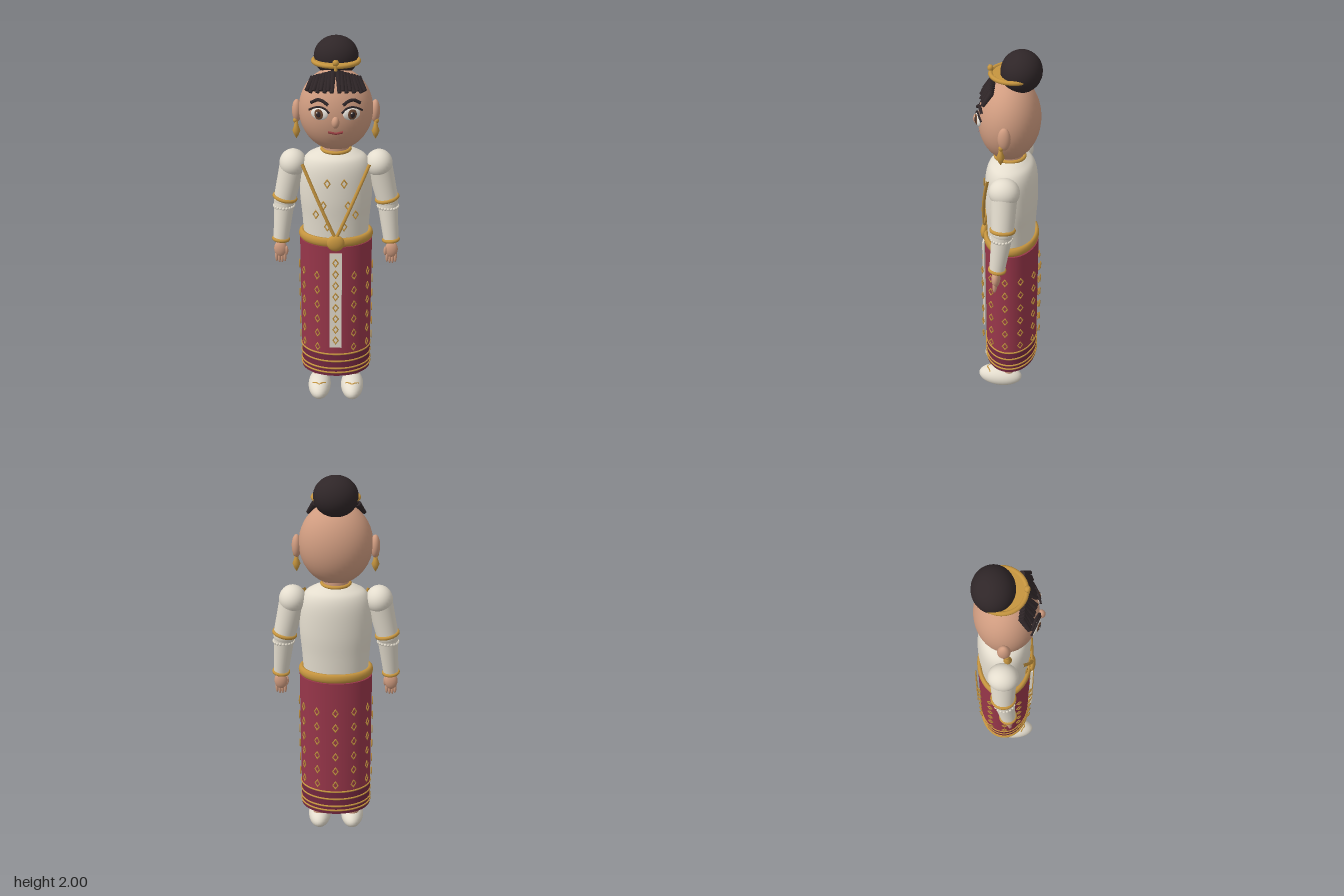
import * as THREE from 'three';

const mat = (name, color) => {
  const m = new THREE.MeshStandardMaterial({ color });
  m.name = name;
  return m;
};
const V = (x, y, z) => new THREE.Vector3(x, y, z);

export function createModel() {
  const skin = mat('skin', 0xd09c80), hair = mat('hair', 0x2f2628), cream = mat('cream cloth', 0xe4ddce);
  const gold = mat('gold', 0xc6953f), red = mat('red cloth', 0x98364a), maroon = mat('dark red border', 0x742740);
  const white = mat('eye white', 0xeee9e0), brown = mat('iris brown', 0x6a4630), lip = mat('lip red', 0x983f42);
  const root = new THREE.Group();
  root.name = 'doll';

  const add = (name, geo, material, p = [0, 0, 0], s = [1, 1, 1]) => {
    const m = new THREE.Mesh(geo, material);
    m.name = name;
    m.position.set(...p);
    m.scale.set(...s);
    root.add(m);
    return m;
  };
  const ball = (name, material, p, s, seg = 32) => add(name, new THREE.SphereGeometry(1, seg, seg / 2), material, p, s);
  // tapered round bar from a to b
  const bar = (name, material, a, b, ra, rb, seg = 24) => {
    const m = add(name, new THREE.CylinderGeometry(rb, ra, a.distanceTo(b), seg), material);
    m.position.copy(a).add(b).multiplyScalar(0.5);
    m.quaternion.setFromUnitVectors(V(0, 1, 0), b.clone().sub(a).normalize());
    return m;
  };
  const cord = (name, material, pts, r) =>
    add(name, new THREE.TubeGeometry(new THREE.CatmullRomCurve3(pts), 20, r, 8), material);
  // horizontal elliptical hoop
  const hoop = (name, material, y, z, rx, rz, tube, tall = 1) => {
    const g = new THREE.TorusGeometry(rx, tube, 10, 48).rotateX(Math.PI / 2);
    return add(name, g, material, [0, y, z], [1, tall, rz / rx]);
  };
  // open diamond ornament turned about y
  const diamondGeo = new THREE.TorusGeometry(0.014, 0.004, 4, 4).scale(1, 1.5, 0.8);
  const diamond = (name, x, y, z, turn = 0) => { add(name, diamondGeo, gold, [x, y, z]).rotation.y = turn; };

  // head
  const HY = 1.65, HZ = -0.01, HR = [0.183, 0.207, 0.152];
  const faceZ = (x, y) => HZ + HR[2] * Math.sqrt(Math.max(0, 1 - (x / HR[0]) ** 2 - ((y - HY) / HR[1]) ** 2));
  const onFace = (x, y, out) => V(x, y, faceZ(x, y) + out);
  ball('head', skin, [0, HY, HZ], HR, 48);
  ball('nose', skin, [0, 1.632, 0.148], [0.019, 0.029, 0.022]);
  cord('mouth', lip, [[-0.036, 1.578], [-0.015, 1.574], [0, 1.571], [0.015, 1.574], [0.036, 1.578]]
    .map(([x, y]) => onFace(x, y, 0.002)), 0.006);

  for (const s of [-1, 1]) {
    // eye layers, tilted with the face
    const eye = new THREE.Group();
    eye.name = 'eye';
    eye.position.copy(onFace(s * 0.077, 1.67, 0.002));
    eye.rotation.y = s * 0.38;
    root.add(eye);
    [['eyeWhite', white, 0.044, 0.031, 0.012, 0], ['iris', brown, 0.023, 0.026, 0.006, 0.009],
      ['pupil', hair, 0.012, 0.015, 0.004, 0.0135]].forEach(([n, m, rx, ry, rz, z]) =>
      eye.add(ball(n, m, [0, 0, z], [rx, ry, rz], 24)));
    eye.add(ball('eyeGlint', white, [-0.006, 0.009, 0.017], [0.004, 0.004, 0.002], 12));
    cord('upperLash', hair, [[0.03, 1.678], [0.05, 1.697], [0.078, 1.704], [0.105, 1.696], [0.128, 1.682]]
      .map(([x, y]) => onFace(s * x, y, 0.008)), 0.005);
    cord('eyebrow', hair, [[0.035, 1.715], [0.06, 1.732], [0.085, 1.736], [0.118, 1.718]]
      .map(([x, y]) => onFace(s * x, y, 0.009)), 0.008);

    // ear and drop earring
    ball('ear', skin, [s * 0.193, 1.638, -0.017], [0.024, 0.058, 0.031]);
    ball('earStud', gold, [s * 0.2, 1.592, -0.003], [0.012, 0.014, 0.012], 16);
    const drop = [[0, 1.498], [0.01, 1.515], [0.02, 1.54], [0.011, 1.565], [0.007, 1.592], [0, 1.597]];
    add('earringDrop', new THREE.LatheGeometry(drop.map(p => new THREE.Vector2(...p)), 16), gold, [s * 0.196, 0, 0]);

    // swept fringe strands
    for (let i = 0; i < 8; i++) {
      const t = i / 7;
      bar('fringeStrand', hair, V(s * (0.012 + 0.095 * t), 1.86 - 0.03 * t, 0.066 - 0.008 * t),
        V(s * (0.018 + 0.122 * t), 1.772 - 0.008 * t + 0.01 * (i % 2), 0.125 - 0.03 * t), 0.016, 0.01, 7);
    }
  }

  // hair bun and tiara
  ball('hairBun', hair, [0, 1.9, -0.066], [0.109, 0.1, 0.099], 40);
  add('tiaraPlate', new THREE.CylinderGeometry(0.112, 0.105, 0.012, 48), gold, [0, 1.885, -0.03]);
  hoop('tiaraRim', gold, 1.887, -0.03, 0.11, 0.11, 0.011);
  bar('tiaraPost', gold, V(0, 1.868, 0.085), V(0, 1.92, 0.085), 0.008, 0.006, 12);
  ball('tiaraBead', gold, [0, 1.905, 0.082], [0.016, 0.016, 0.014], 16);

  // neck and bodice
  bar('neck', skin, V(0, 1.4, -0.012), V(0, 1.48, -0.012), 0.066, 0.066);
  hoop('collar', gold, 1.443, -0.012, 0.07, 0.072, 0.009);
  const TZ = -0.02, FLAT = 0.72;
  const body = new THREE.SplineCurve([[0.166, 0.96], [0.174, 1.08], [0.184, 1.2], [0.179, 1.33], [0.155, 1.398],
    [0.11, 1.428], [0.066, 1.445]].map(p => new THREE.Vector2(...p)));
  add('bodice', new THREE.LatheGeometry(body.getPoints(30), 48), cream, [0, 0, TZ], [1, 1, FLAT]);
  const chestZ = x => TZ + FLAT * Math.sqrt(0.182 ** 2 - x * x);
  for (const [x, y] of [[0.042, 1.3], [0.062, 1.18], [0.1, 1.125], [0.042, 1.065]])
    for (const s of [-1, 1]) diamond('bodiceDiamond', s * x, y, chestZ(x) + 0.004, s * x * 3);
  for (const s of [-1, 1])
    cord('crossStrap', gold, [V(s * 0.167, 1.388, 0.07), V(s * 0.125, 1.29, 0.092), V(s * 0.065, 1.15, 0.114),
      V(0, 1.0, 0.122)], 0.0085);

  // belt
  hoop('belt', gold, 0.975, TZ, 0.176, 0.13, 0.017, 1.45);
  ball('buckle', gold, [0, 0.977, 0.12], [0.045, 0.045, 0.022]);

  // skirt with border
  const SZ = -0.022, SF = 0.735;
  add('skirt', new THREE.CylinderGeometry(0.188, 0.186, 0.64, 64), red, [0, 0.63, SZ], [1, 1, SF]);
  add('skirtBorder', new THREE.CylinderGeometry(0.1865, 0.185, 0.14, 64), maroon, [0, 0.24, SZ], [1, 1, SF]);
  for (const y of [0.308, 0.263, 0.218, 0.192]) hoop('borderLine', gold, y, SZ, 0.186, 0.138, 0.005);
  for (let c = 1; c < 12; c++) {
    const a = c * Math.PI / 6;
    for (let r = 0; r < 6; r++)
      diamond('skirtDiamond', 0.192 * Math.sin(a), 0.79 - r * 0.086, -0.018 + 0.157 * Math.cos(a), a);
  }

  // front panel
  add('frontPanel', new THREE.BoxGeometry(0.064, 0.56, 0.009), cream, [0, 0.64, 0.126]);
  for (let i = 0; i < 8; i++) diamond('panelDiamond', 0, 0.87 - i * 0.066, 0.134);

  for (const s of [-1, 1]) {
    // sleeve, forearm and bands
    const shoulder = V(s * 0.217, 1.36, -0.021), elbow = V(s * 0.263, 1.165, -0.02), wrist = V(s * 0.286, 0.945, 0.004);
    const band = (name, p, r, tube, dir, m = gold) => {
      const b = add(name, new THREE.TorusGeometry(r, tube, 10, 32), m, p.toArray());
      b.quaternion.setFromUnitVectors(V(0, 0, 1), dir);
    };
    const upDir = elbow.clone().sub(shoulder).normalize(), lowDir = wrist.clone().sub(elbow).normalize();
    ball('puffShoulder', cream, shoulder.toArray(), [0.069, 0.072, 0.076]);
    bar('upperSleeve', cream, elbow, shoulder, 0.056, 0.066);
    ball('elbow', cream, elbow.toArray(), [0.056, 0.056, 0.056]);
    bar('foreSleeve', cream, wrist, elbow, 0.039, 0.054);
    band('armBand', elbow.clone().lerp(shoulder, 0.03), 0.055, 0.01, upDir);
    band('cuff', wrist, 0.037, 0.01, lowDir);
    // scalloped lace
    const lace = elbow.clone().lerp(wrist, 0.17);
    for (let i = 0; i < 20; i++) {
      const a = i * Math.PI / 10;
      ball('laceScallop', cream, [lace.x + 0.051 * Math.cos(a), lace.y, lace.z + 0.051 * Math.sin(a)],
        [0.008, 0.008, 0.008], 8);
    }
    // hand with fingers
    ball('palm', skin, [s * 0.289, 0.89, 0.01], [0.034, 0.046, 0.022], 24);
    for (let i = 0; i < 4; i++)
      ball('finger', skin, [s * (0.267 + i * 0.0145), 0.85 - (i === 1 || i === 2 ? 0.006 : 0), 0.014],
        [0.0085, 0.033, 0.01], 12);
    ball('thumb', skin, [s * 0.257, 0.885, 0.018], [0.009, 0.026, 0.011], 12);

    // leg and shoe
    bar('leg', skin, V(s * 0.09, 0.08, -0.018), V(s * 0.09, 0.2, -0.018), 0.036, 0.037);
    ball('shoe', cream, [s * 0.09, 0.06, 0.027], [0.062, 0.06, 0.121]);
    cord('shoeTrim', gold, [V(s * 0.09 - 0.035, 0.1, 0.078), V(s * 0.09 - 0.015, 0.107, 0.09),
      V(s * 0.09, 0.105, 0.1), V(s * 0.09 + 0.015, 0.107, 0.09), V(s * 0.09 + 0.035, 0.1, 0.078)], 0.004);
  }
  return root;
}
